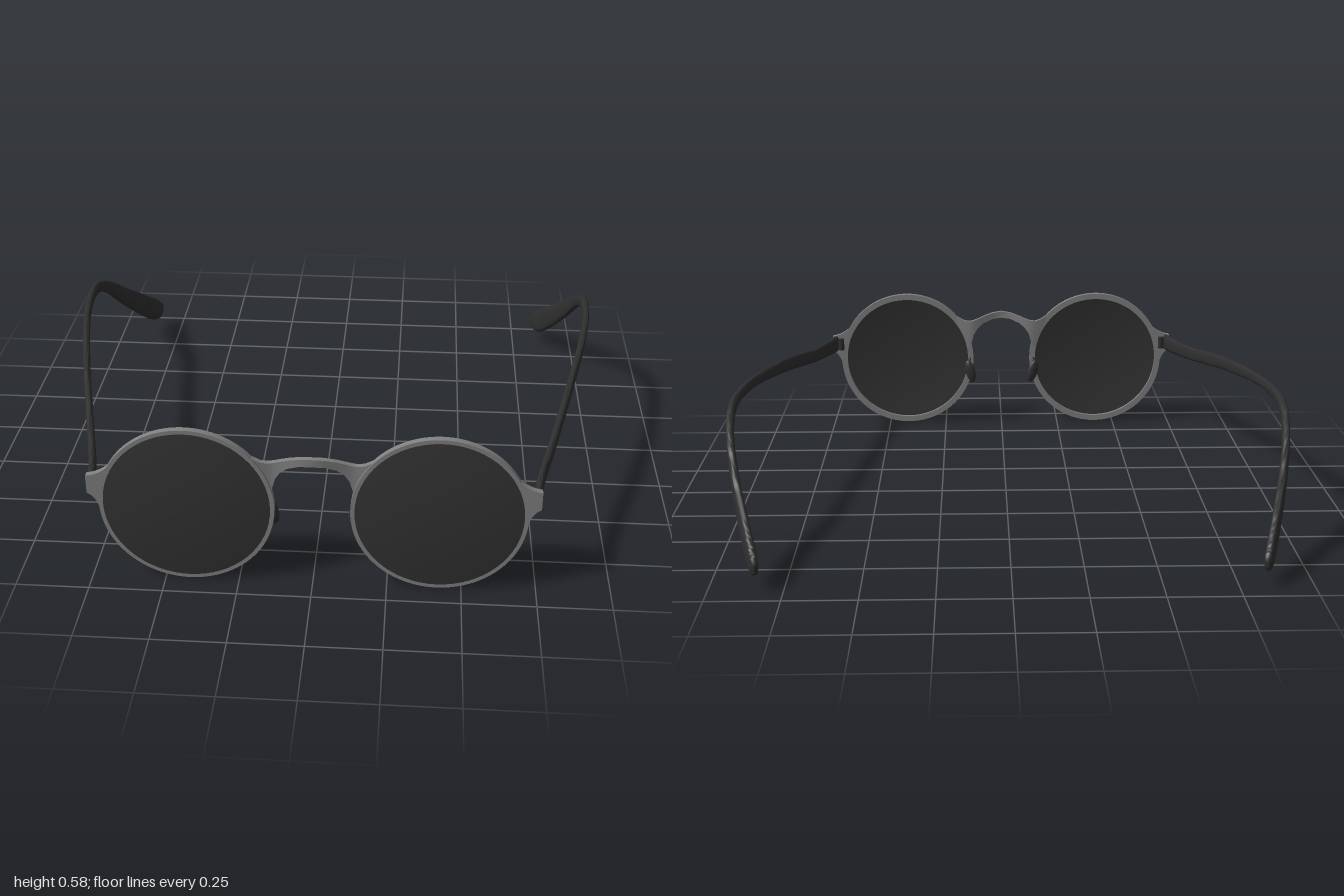
import * as THREE from 'three';
import { toCreasedNormals } from 'three/addons/utils/BufferGeometryUtils.js';

const metal = new THREE.MeshStandardMaterial({ name: 'greyMetal', color: 0x808080 });
const lensDark = new THREE.MeshStandardMaterial({ name: 'darkLens', color: 0x333333 });
const plastic = new THREE.MeshStandardMaterial({ name: 'blackPlastic', color: 0x2f2f2f });

const RIM_X = 0.417, RIM_Y = 0.298, RIM_R = 0.292;
const BACK = 0.898, DEPTH = 0.022;

// Skin a list of closed rings, with both ends capped
function loft(rings, crease = 0.8) {
  const n = rings[0].length, pos = [], idx = [];
  rings.forEach(r => r.forEach(p => pos.push(p.x, p.y, p.z)));
  for (let k = 0; k < rings.length - 1; k++) {
    for (let i = 0; i < n; i++) {
      const j = (i + 1) % n, a = k * n + i, b = k * n + j;
      idx.push(a, b, a + n, b, b + n, a + n);
    }
  }
  [0, rings.length - 1].forEach((k, end) => {
    const c = new THREE.Vector3();
    rings[k].forEach(p => c.addScaledVector(p, 1 / n));
    const ci = pos.length / 3;
    pos.push(c.x, c.y, c.z);
    for (let i = 0; i < n; i++) {
      const a = k * n + i, b = k * n + (i + 1) % n;
      idx.push(ci, end ? a : b, end ? b : a);
    }
  });
  const g = new THREE.BufferGeometry();
  g.setAttribute('position', new THREE.Float32BufferAttribute(pos, 3));
  g.setIndex(idx);
  return toCreasedNormals(g, crease);
}

// Mirror a geometry across x = 0, keeping faces outward
function mirrored(geo) {
  const g = geo.clone().applyMatrix4(new THREE.Matrix4().makeScale(-1, 1, 1));
  const src = g.index ? Array.from(g.index.array) : [...Array(g.attributes.position.count).keys()];
  for (let i = 0; i < src.length; i += 3) [src[i + 1], src[i + 2]] = [src[i + 2], src[i + 1]];
  g.setIndex(src);
  return g;
}

function plate(shape) {
  const g = new THREE.ExtrudeGeometry(shape, { depth: DEPTH, bevelEnabled: false, curveSegments: 48 });
  return toCreasedNormals(g.translate(0, 0, BACK), 0.6);
}

function rimGeometry() {
  const s = new THREE.Shape().absarc(RIM_X, RIM_Y, RIM_R, 0, Math.PI * 2);
  s.holes.push(new THREE.Path().absarc(RIM_X, RIM_Y, 0.268, 0, Math.PI * 2, true));
  return plate(s);
}

// Flared lug joining the rim to the temple
function lugGeometry() {
  const s = new THREE.Shape();
  s.moveTo(0.747, 0.337);
  s.lineTo(0.747, 0.403);
  s.quadraticCurveTo(0.695, 0.41, 0.66, 0.452);
  s.lineTo(0.655, 0.44);
  s.lineTo(0.681, 0.37);
  s.lineTo(0.69, 0.3);
  s.lineTo(0.688, 0.25);
  s.lineTo(0.703, 0.25);
  s.quadraticCurveTo(0.71, 0.32, 0.747, 0.337);
  return plate(s);
}

// Shallow domed disc
function lensGeometry() {
  const pts = [], N = 12, R = 0.278;
  for (let i = 0; i <= N; i++) {
    const t = i / N;
    pts.push(new THREE.Vector2(Math.max(R * t, 1e-5), 0.931 - 0.02 * t * t));
  }
  for (let i = N; i >= 0; i--) {
    const t = i / N;
    pts.push(new THREE.Vector2(Math.max(R * t, 1e-5), 0.939 - 0.018 * t * t));
  }
  const g = new THREE.LatheGeometry(pts, 64).rotateX(Math.PI / 2);
  return toCreasedNormals(g.translate(RIM_X, RIM_Y, 0), 0.8);
}

// Bridge as columns of x, top, bottom and z offset
function bridgeGeometry() {
  const half = [
    [0, 0.507, 0.479, 0.018], [0.04, 0.502, 0.475, 0.011], [0.08, 0.489, 0.458, -0.001],
    [0.105, 0.479, 0.437, -0.008], [0.122, 0.473, 0.41, -0.011], [0.133, 0.47, 0.37, -0.012],
    [0.148, 0.469, 0.345, -0.011], [0.17, 0.474, 0.412, -0.007], [0.2, 0.492, 0.465, -0.002],
  ];
  const cols = [...half.slice(1).reverse().map(([x, ...r]) => [-x, ...r]), ...half];
  return loft(cols.map(([x, top, bot, dz]) => {
    const z = 0.909 + dz, d = 0.009;
    return [[top, z + d], [bot, z + d], [bot, z - d], [top, z - d]]
      .map(([y, zz]) => new THREE.Vector3(x, y, zz));
  }));
}

// Temple arm swept along its path: x, y, z, half height, half width
function templeGeometry() {
  const st = [
    [0.733, 0.369, 0.9, 0.034, 0.013], [0.75, 0.378, 0.8, 0.032, 0.013],
    [0.8, 0.395, 0.6, 0.028, 0.013], [0.875, 0.439, 0.3, 0.027, 0.013],
    [0.942, 0.467, 0, 0.021, 0.013], [0.974, 0.473, -0.2, 0.02, 0.013],
    [0.983, 0.46, -0.36, 0.022, 0.014], [0.971, 0.4, -0.5, 0.025, 0.014],
    [0.935, 0.284, -0.65, 0.036, 0.015], [0.885, 0.166, -0.8, 0.046, 0.016],
    [0.862, 0.118, -0.865, 0.047, 0.016], [0.849, 0.094, -0.9, 0.04, 0.015],
    [0.841, 0.08, -0.92, 0.028, 0.012], [0.837, 0.073, -0.931, 0.006, 0.005],
  ];
  const path = new THREE.CatmullRomCurve3(st.map(s => new THREE.Vector3(s[0], s[1], s[2])), false, 'catmullrom');
  const size = new THREE.CatmullRomCurve3(st.map(s => new THREE.Vector3(s[3], s[4], 0)), false, 'catmullrom');
  const up = new THREE.Vector3(0, 1, 0), rings = [], steps = 78, n = 24;
  const round = v => Math.sign(v) * Math.pow(Math.abs(v), 0.7);
  for (let k = 0; k <= steps; k++) {
    const t = k / steps, c = path.getPoint(t), s = size.getPoint(t), T = path.getTangent(t);
    const U = T.clone().cross(up).normalize(), V = T.clone().cross(U);
    rings.push(Array.from({ length: n }, (_, i) => {
      const a = i / n * Math.PI * 2;
      return c.clone().addScaledVector(U, s.y * round(Math.cos(a))).addScaledVector(V, s.x * round(Math.sin(a)));
    }));
  }
  return loft(rings, 1.0);
}

// Nose pad and its bent wire
function padGeometry() {
  return new THREE.SphereGeometry(1, 20, 14).scale(0.022, 0.05, 0.012)
    .rotateZ(-0.25).rotateY(-0.2).translate(0.139, 0.25, 0.859);
}
function padWireGeometry() {
  const pts = [[0.142, 0.26, 0.902], [0.142, 0.292, 0.893], [0.141, 0.303, 0.882],
    [0.14, 0.293, 0.871], [0.139, 0.255, 0.865]].map(p => new THREE.Vector3(...p));
  return new THREE.TubeGeometry(new THREE.CatmullRomCurve3(pts), 20, 0.005, 8);
}

// Hinge barrel beside the temple root
function hingeGeometry() {
  return new THREE.CylinderGeometry(0.012, 0.012, 0.05, 16).translate(0.709, 0.37, 0.884);
}
function hingeLeafGeometry() {
  return new THREE.BoxGeometry(0.032, 0.04, 0.012).translate(0.722, 0.37, 0.893);
}

export function createModel() {
  const model = new THREE.Group();
  model.name = 'roundSunglasses';
  const add = (name, geo, mat) => {
    const m = new THREE.Mesh(geo, mat);
    m.name = name;
    model.add(m);
  };
  const pair = (name, geo, mat) => {
    add('left' + name, geo, mat);
    add('right' + name, mirrored(geo), mat);
  };
  pair('Rim', rimGeometry(), metal);
  pair('Lug', lugGeometry(), metal);
  pair('Lens', lensGeometry(), lensDark);
  add('bridge', bridgeGeometry(), metal);
  pair('Temple', templeGeometry(), plastic);
  pair('Hinge', hingeGeometry(), plastic);
  pair('HingeLeaf', hingeLeafGeometry(), plastic);
  pair('NosePad', padGeometry(), plastic);
  pair('NosePadWire', padWireGeometry(), plastic);
  return model;
}
